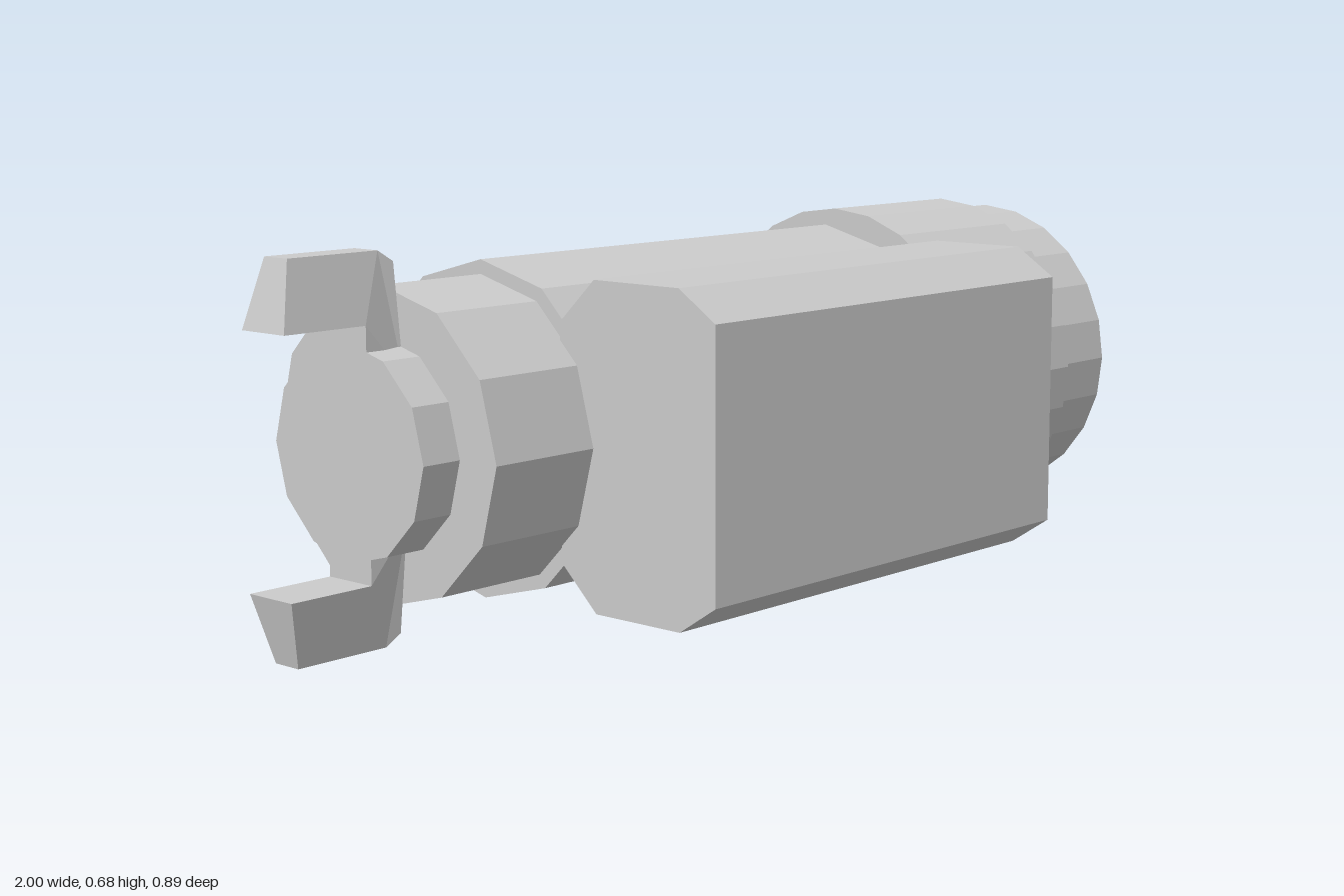
import * as THREE from 'three';

const AXIS_Y = 0.345, AXIS_Z = -0.11;
const material = new THREE.MeshStandardMaterial({ color: 0xcccccc, flatShading: true });

function addMesh(parent, name, geometry) {
  const mesh = new THREE.Mesh(geometry, material);
  mesh.name = name;
  parent.add(mesh);
  return mesh;
}

// Solid of revolution around the x axis; profile is [x, radius] from low x to high x
function turned(parent, name, profile, sides) {
  const points = profile.map(([x, r]) => new THREE.Vector2(r, x));
  const geometry = new THREE.LatheGeometry(points, sides);
  geometry.rotateZ(-Math.PI / 2);
  return addMesh(parent, name, geometry);
}

const polygon = (pts) => new THREE.Shape(pts.map(([x, y]) => new THREE.Vector2(x, y)));

// L-shaped prong whose width narrows towards its outer face
function prongGeometry() {
  const geometry = new THREE.ExtrudeGeometry(polygon([
    [-0.83, 0.13], [-0.75, 0.13], [-0.75, 0.32], [-0.78, 0.34],
    [-0.97, 0.34], [-1, 0.22], [-0.83, 0.22],
  ]), { depth: 0.108, bevelEnabled: false });
  geometry.translate(0, 0, -0.054);
  const p = geometry.attributes.position;
  for (let i = 0; i < p.count; i++) {
    const t = THREE.MathUtils.clamp((p.getY(i) - 0.22) / 0.12, 0, 1);
    p.setZ(i, p.getZ(i) * (1 - 0.46 * t));
  }
  geometry.computeVertexNormals();
  return geometry;
}

export function createModel() {
  const model = new THREE.Group();
  model.name = 'opticalTube';

  // Everything centred on the long axis
  const tube = new THREE.Group();
  tube.name = 'tube';
  tube.position.set(0, AXIS_Y, AXIS_Z);
  model.add(tube);

  turned(tube, 'rearCap', [[-0.83, 0], [-0.83, 0.19], [-0.74, 0.19]], 12);
  turned(tube, 'innerTube', [[-0.75, 0], [-0.75, 0.278], [0.48, 0.278]], 12);
  turned(tube, 'mainBarrel', [[-0.52, 0], [-0.52, 0.304], [0.44, 0.304], [0.44, 0]], 12);

  // Front housing with a stepped rim and a recessed tapering opening
  turned(tube, 'frontHousing', [
    [0.47, 0], [0.47, 0.335], [0.835, 0.335], [0.835, 0.312],
    [1, 0.312], [1, 0.287], [0.89, 0.254], [0.89, 0],
  ], 24);

  // Upper and lower prongs at the rear
  const prong = prongGeometry();
  addMesh(tube, 'upperProng', prong);
  addMesh(tube, 'lowerProng', prong).rotation.x = Math.PI;

  // Chamfered box along the front of the barrel
  const half = [[0.445, 0.235], [0.365, 0.288], [0.172, 0.288], [0.09, 0.21]];
  const outline = [...half, ...half.map(([z, y]) => [z, -y]).reverse()];
  const box = new THREE.ExtrudeGeometry(polygon(outline.map(([z, y]) => [-z, y])),
    { depth: 0.965, bevelEnabled: false });
  box.rotateY(Math.PI / 2);
  box.translate(-0.525, AXIS_Y, 0);
  addMesh(model, 'sideBox', box);

  return model;
}
